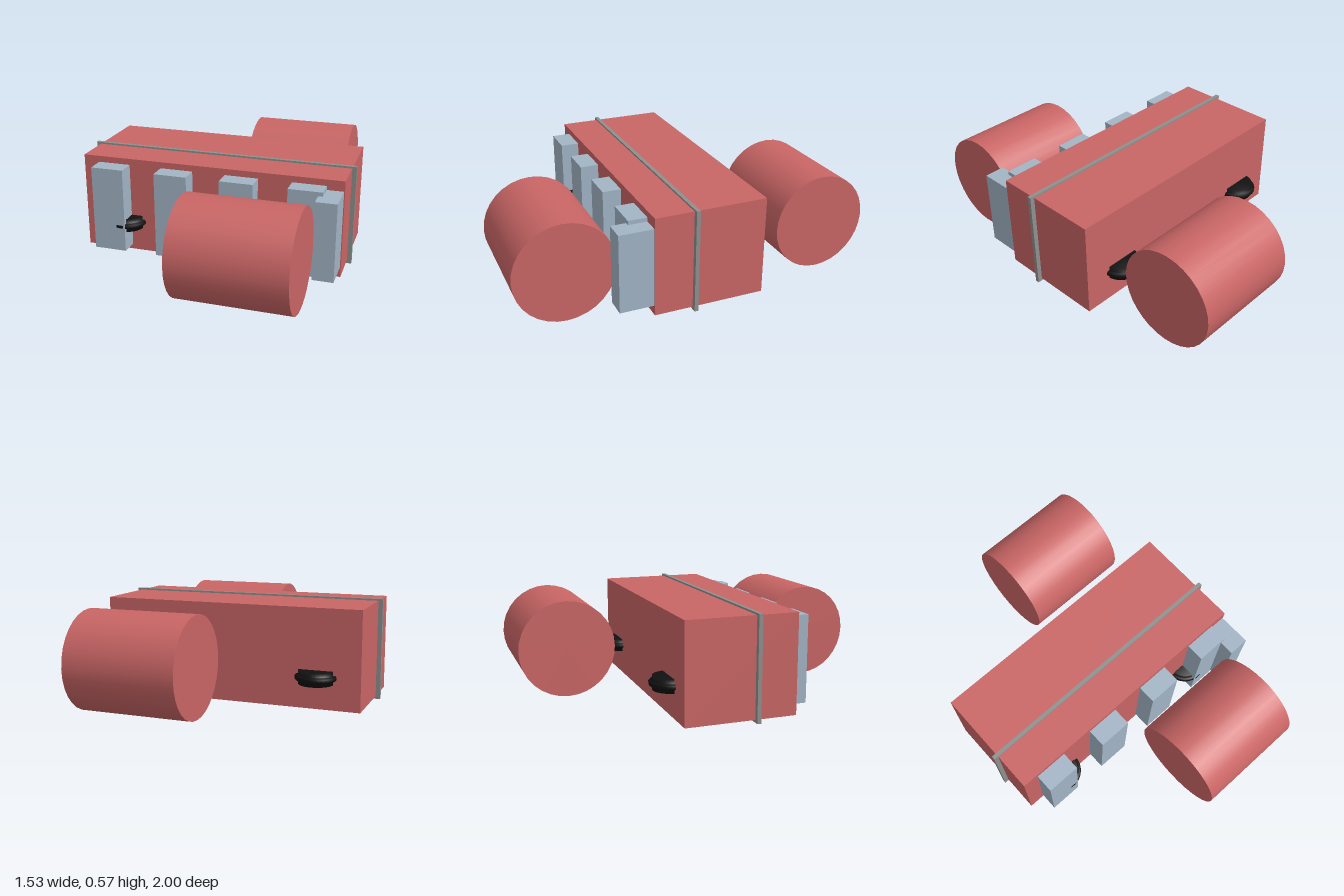
import * as THREE from 'three';

const material = (name, color) => {
  const m = new THREE.MeshStandardMaterial({ color });
  m.name = name;
  return m;
};

export function createModel() {
  const red = material('red paint', 0xc96565);
  const glass = material('pale blue glass', 0xa2b4c5);
  const grey = material('grey trim', 0x8e908e);
  const black = material('black rubber', 0x111111);
  const model = new THREE.Group();
  model.name = 'bus';

  const add = (name, geometry, mat, x = 0, y = 0, z = 0) => {
    const mesh = new THREE.Mesh(geometry, mat);
    mesh.name = name;
    mesh.position.set(x, y, z);
    model.add(mesh);
    return mesh;
  };
  // Box given by its lower and upper limits on each axis
  const box = (name, mat, [x0, x1], [y0, y1], [z0, z1]) =>
    add(name, new THREE.BoxGeometry(x1 - x0, y1 - y0, z1 - z0), mat,
      (x0 + x1) / 2, (y0 + y1) / 2, (z0 + z1) / 2);

  // Body and the trim band around it
  box('body', red, [-0.74, 0.74], [0.015, 0.56], [-0.308, 0.308]);
  box('trimBand', grey, [-0.765, 0.765], [0, 0.57], [0.075, 0.097]);

  // Row of windows and the door on the front side
  for (let i = 0; i < 4; i++) {
    const x = -0.65 + i * 0.37;
    box('window' + (i + 1), glass, [x, x + 0.185], [0.045, 0.525], [0.3, 0.411]);
  }
  box('door', glass, [0.62, 0.735], [0.07, 0.503], [0.3, 0.495]);

  // Large drums lying along x on both sides
  for (const side of [1, -1]) {
    const drum = add(side > 0 ? 'frontDrum' : 'backDrum',
      new THREE.CylinderGeometry(0.27, 0.27, 0.615, 32), red, 0.3075, 0.287, side * 0.73);
    drum.rotation.z = Math.PI / 2;
  }

  // Flat wheels with a raised rounded tread, half sunk into the body
  const profile = [
    [0, -0.037], [0.096, -0.037], [0.096, -0.015], [0.108, -0.015], [0.115, -0.007],
    [0.115, 0.007], [0.108, 0.015], [0.096, 0.015], [0.096, 0.037], [0, 0.037],
  ].map(([r, y]) => new THREE.Vector2(r, y));
  const wheel = new THREE.LatheGeometry(profile, 32);
  for (const x of [-0.495, 0.49])
    for (const z of [-0.298, 0.298]) add('wheel', wheel, black, x, 0.189, z);

  return model;
}
